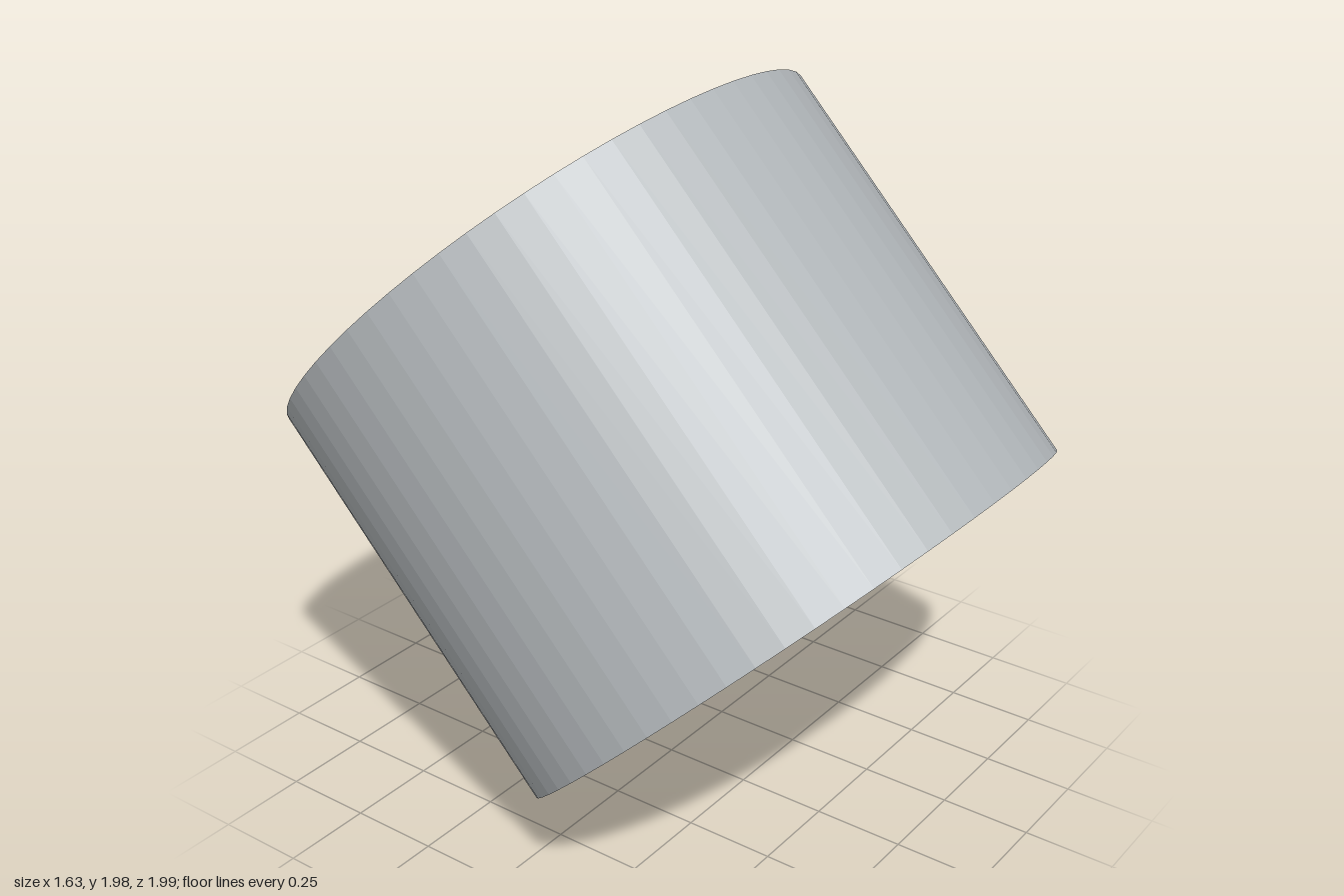
import * as THREE from 'three';

export function createModel() {
  const model = new THREE.Group();
  const paleGrey = new THREE.MeshStandardMaterial({ color: 0xb0b5b8, flatShading: true });
  paleGrey.name = 'pale grey';
  const midGrey = new THREE.MeshStandardMaterial({ color: 0xa8a9ac, flatShading: true });
  midGrey.name = 'mid grey';

  // Open tube: a rectangular wall section turned about the axis, then tilted back
  const outer = 0.815, inner = 0.655, half = 0.59;
  const wall = [
    [inner, -half], [outer, -half], [outer, half], [inner, half], [inner, -half],
  ].map(([r, y]) => new THREE.Vector2(r, y));
  const tube = new THREE.Mesh(new THREE.LatheGeometry(wall, 64), paleGrey);
  tube.name = 'tube';
  tube.rotation.x = -0.761;
  tube.position.y = 1;
  model.add(tube);

  // Upright block held inside the bore, just reaching the lower mouth
  const block = new THREE.Mesh(new THREE.BoxGeometry(0.68, 0.41, 0.4), midGrey);
  block.name = 'block';
  block.position.set(0, 0.905, 0.37);
  model.add(block);

  return model;
}
